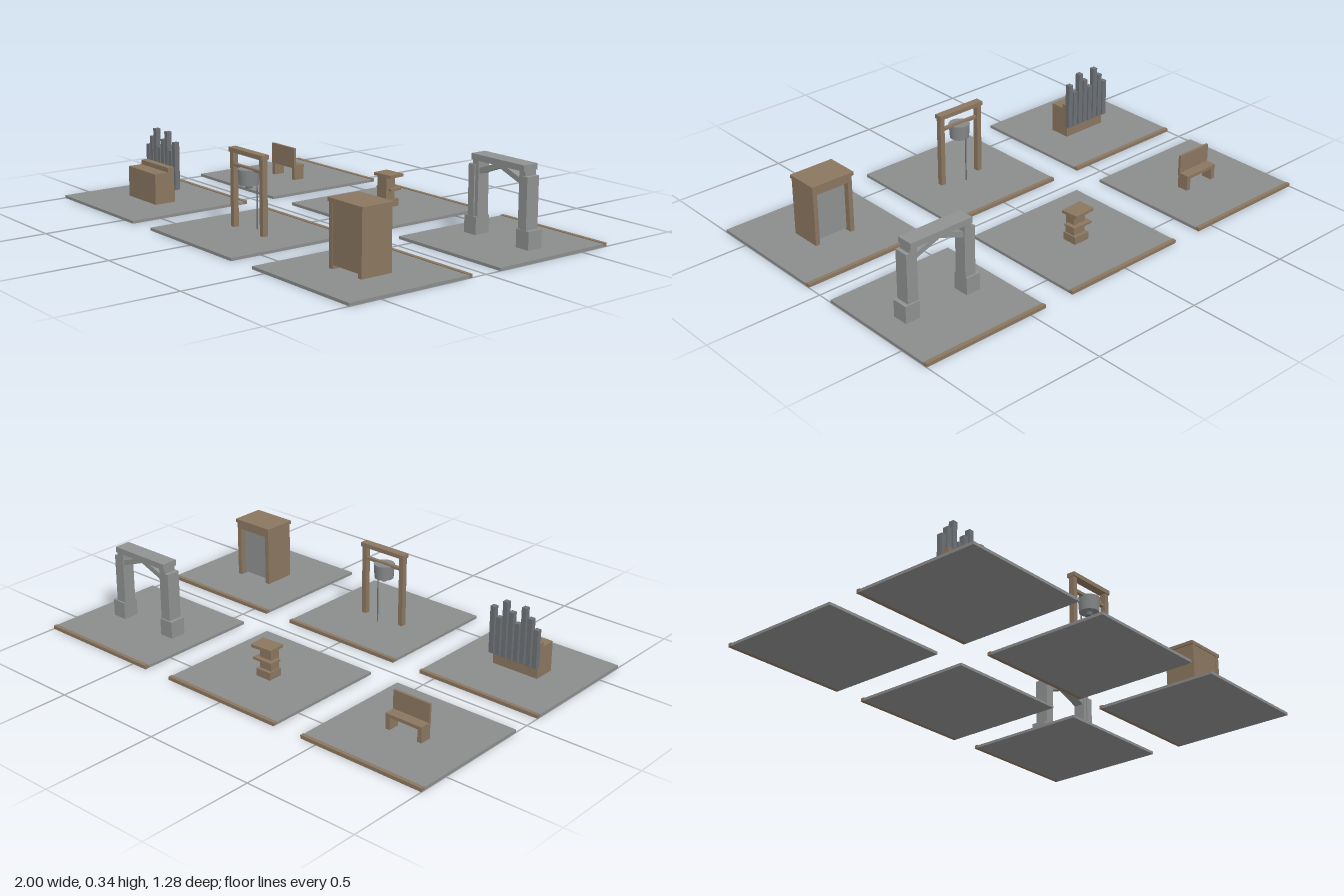
import * as THREE from 'three';

const mat = (name, color) => Object.assign(new THREE.MeshStandardMaterial({ color }), { name });

export function createModel() {
  const root = new THREE.Group();
  const wood = mat('wood', 0x8b7760);
  const stone = mat('stone', 0x8f9291);
  const floor = mat('floor', 0x8b8d8c);
  const metal = mat('metal', 0x6c7175);
  const bellMetal = mat('bellMetal', 0x858889);

  const group = (name, x, z) => {
    const g = new THREE.Group();
    g.name = name;
    g.position.set(x, 0, z);
    root.add(g);
    return g;
  };
  // Box given by its extents on each axis
  const box = (g, name, m, x0, x1, y0, y1, z0, z1) => {
    const mesh = new THREE.Mesh(new THREE.BoxGeometry(x1 - x0, y1 - y0, z1 - z0), m);
    mesh.position.set((x0 + x1) / 2, (y0 + y1) / 2, (z0 + z1) / 2);
    mesh.name = name;
    g.add(mesh);
    return mesh;
  };
  const cyl = (g, name, m, rTop, rBottom, y0, y1, z, sides) => {
    const mesh = new THREE.Mesh(new THREE.CylinderGeometry(rTop, rBottom, y1 - y0, sides), m);
    mesh.position.set(0, (y0 + y1) / 2, z);
    mesh.name = name;
    g.add(mesh);
  };
  const X = 0.7125, Z = 0.355, F = 0.012;

  // Six floor tiles, each with a wooden strip along the back edge
  for (const x of [-X, 0, X]) for (const z of [-Z, Z]) {
    const tile = group('floorTile', x, z);
    box(tile, 'slab', floor, -0.2875, 0.2875, 0, F, -0.268, 0.285);
    box(tile, 'edgeStrip', wood, -0.2875, 0.2875, 0, 0.015, -0.285, -0.268);
  }

  // Pipe organ
  const organ = group('pipeOrgan', -X, Z);
  box(organ, 'cabinet', wood, -0.11, 0.107, F, 0.145, -0.033, 0.064);
  box(organ, 'musicDesk', wood, -0.11, 0.107, 0.145, 0.165, -0.033, 0);
  for (let i = 0; i < 8; i++) {
    const x = -0.104 + i * 0.03, top = [0.232, 0.272, 0.31][i % 3];
    box(organ, 'pipe', metal, x - 0.011, x + 0.011, 0.065, top, -0.054, -0.031);
  }

  // Bell frame with hanging bell and rope
  const bell = group('bellFrame', 0, Z);
  for (const s of [-1, 1]) box(bell, 'post', wood, s * 0.101 - 0.011, s * 0.101 + 0.011, F, 0.324, -0.012, 0.012);
  box(bell, 'topBeam', wood, -0.115, 0.115, 0.322, 0.34, -0.018, 0.018);
  box(bell, 'bellRail', wood, -0.09, 0.09, 0.263, 0.275, -0.008, 0.008);
  cyl(bell, 'bell', bellMetal, 0.045, 0.041, 0.205, 0.268, 0, 16);
  cyl(bell, 'clapper', metal, 0.014, 0.014, 0.19, 0.21, 0, 8);
  cyl(bell, 'rope', metal, 0.003, 0.003, F, 0.21, -0.04, 6);

  // Booth, closed in front, with a grey panel set into the open back
  const booth = group('booth', X, Z);
  for (const s of [-1, 1]) box(booth, 'side', wood, s * 0.085 - 0.01, s * 0.085 + 0.01, F, 0.265, -0.066, 0.075);
  box(booth, 'frontPanel', wood, -0.085, 0.085, 0.028, 0.265, 0.055, 0.073);
  box(booth, 'backLintel', wood, -0.085, 0.085, 0.235, 0.265, -0.064, -0.045);
  box(booth, 'backPanel', stone, -0.076, 0.076, 0.02, 0.24, -0.04, -0.032);
  box(booth, 'roof', wood, -0.102, 0.1, 0.265, 0.28, -0.072, 0.077);

  // Bench facing the rear
  const bench = group('bench', -X, -Z);
  for (const x of [-0.077, 0.075]) box(bench, 'endLeg', wood, x - 0.01, x + 0.01, F, 0.07, -0.033, 0.018);
  box(bench, 'seat', wood, -0.087, 0.085, 0.066, 0.08, -0.035, 0.02);
  box(bench, 'backrest', wood, -0.087, 0.085, 0.08, 0.16, 0.01, 0.021);

  // Reading stand
  const stand = group('readingStand', 0, -Z);
  box(stand, 'base', wood, -0.037, 0.037, F, 0.045, -0.04, 0.026);
  box(stand, 'column', wood, -0.03, 0.03, 0.045, 0.14, -0.025, 0.022);
  box(stand, 'shelf', wood, -0.048, 0.048, 0.083, 0.093, -0.045, 0.01);
  box(stand, 'top', wood, -0.051, 0.051, 0.14, 0.153, -0.053, 0.023).rotation.y = 0.07;

  // Stone gateway
  const gate = group('gateway', X, -Z);
  for (const s of [-1, 1]) {
    const side = (name, a, b, y0, y1, z0, z1) =>
      box(gate, name, stone, Math.min(s * a, s * b), Math.max(s * a, s * b), y0, y1, z0, z1);
    side('plinth', 0.113, 0.18, F, 0.086, -0.035, 0.036);
    side('outerPillar', 0.13, 0.163, 0.086, 0.296, -0.028, 0.034);
    side('innerPillar', 0.113, 0.146, 0.086, 0.317, -0.028, 0.028);
    // Sloping arch stones meeting under the lintel
    const arch = new THREE.Mesh(new THREE.BoxGeometry(0.125, 0.022, 0.045), stone);
    arch.name = 'archStone';
    arch.position.set(s * 0.056, 0.293, 0);
    arch.rotation.z = -s * 0.36;
    gate.add(arch);
  }
  box(gate, 'lintel', stone, -0.146, 0.146, 0.315, 0.34, -0.035, 0.037);

  return root;
}
